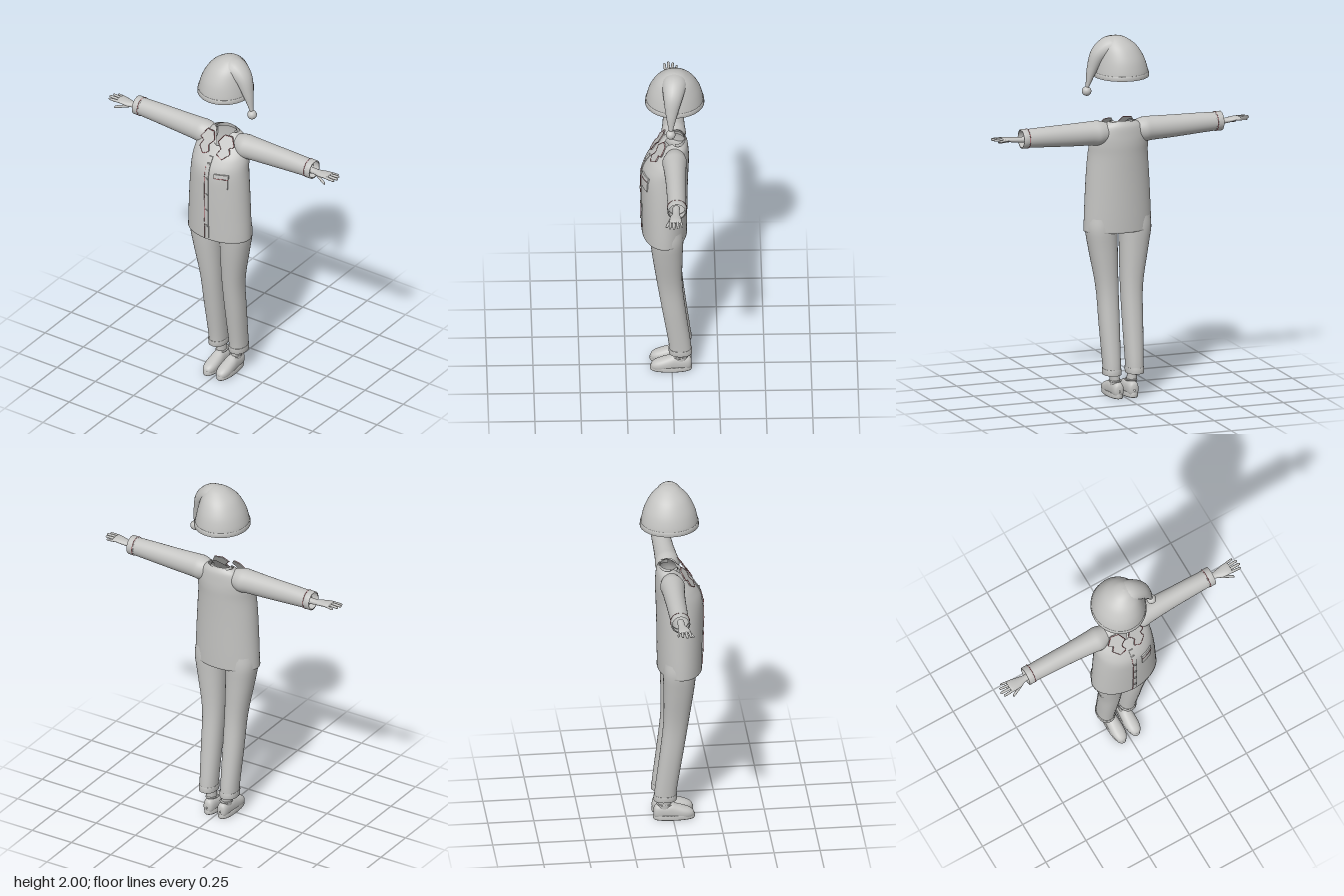
import * as THREE from 'three';

const cloth = new THREE.MeshStandardMaterial({ color: 0xc4c4c2, side: THREE.DoubleSide });
cloth.name = 'light grey';
const piping = new THREE.MeshStandardMaterial({ color: 0xa8434c });
piping.name = 'red piping';

// Smoothly subdivides a list of rings (Catmull-Rom on every value)
function refine(rings, steps) {
  const out = [];
  for (let i = 0; i < rings.length - 1; i++) {
    const a = rings[Math.max(i - 1, 0)], b = rings[i], c = rings[i + 1];
    const d = rings[Math.min(i + 2, rings.length - 1)];
    for (let s = 0; s < steps; s++) {
      const t = s / steps;
      out.push(b.map((v, k) => {
        const k1 = c[k] - a[k];
        const k2 = 2 * a[k] - 5 * v + 4 * c[k] - d[k];
        const k3 = 3 * (v - c[k]) + d[k] - a[k];
        return v + 0.5 * t * (k1 + t * (k2 + t * k3));
      }));
    }
  }
  out.push(rings[rings.length - 1]);
  return out;
}

// Skin over rings [t, a, b, ra, rb]: axis x -> (a,b)=(y,z), axis y -> (z,x), axis z -> (x,y)
function loft(axis, rings, { steps = 4, seg = 32, power = 2 } = {}) {
  const list = steps > 1 ? refine(rings, steps) : rings;
  const shift = { x: 0, y: 1, z: 2 }[axis];
  const pos = [], index = [];
  const round = v => Math.sign(v) * Math.abs(v) ** (2 / power);
  list.forEach(([t, a, b, ra, rb], j) => {
    for (let i = 0; i < seg; i++) {
      const w = i / seg * Math.PI * 2;
      const p = [];
      [t, a + ra * round(Math.cos(w)), b + rb * round(Math.sin(w))]
        .forEach((v, k) => { p[(k + shift) % 3] = v; });
      pos.push(...p);
      if (j < list.length - 1) {
        const n = (i + 1) % seg, r = j * seg, q = r + seg;
        index.push(r + i, r + n, q + i, r + n, q + n, q + i);
      }
    }
  });
  const g = new THREE.BufferGeometry();
  g.setAttribute('position', new THREE.Float32BufferAttribute(pos, 3));
  g.setIndex(index);
  g.computeVertexNormals();
  return g;
}

// Moves every vertex by a rule
function warp(g, rule) {
  const p = g.attributes.position, v = new THREE.Vector3();
  for (let i = 0; i < p.count; i++) {
    rule(v.fromBufferAttribute(p, i), i);
    p.setXYZ(i, v.x, v.y, v.z);
  }
  g.computeVertexNormals();
  return g;
}

function add(parent, name, geometry, material = cloth) {
  const m = new THREE.Mesh(geometry, material);
  m.name = name;
  parent.add(m);
  return m;
}

function seam(parent, name, points, closed = false) {
  const path = new THREE.CurvePath();
  const all = closed ? [...points, points[0]] : points;
  for (let i = 1; i < all.length; i++) path.add(new THREE.LineCurve3(all[i - 1], all[i]));
  add(parent, name, new THREE.TubeGeometry(path, all.length * 6, 0.0014, 5), piping);
}

const V = (x, y, z) => new THREE.Vector3(x, y, z);

// Jacket body, rings [y, cz, cx, rz, rx]
const bodyRings = [
  [0.915, 0.04, 0, 0.12, 0.19], [1.0, 0.04, 0, 0.122, 0.188], [1.2, 0.04, 0, 0.125, 0.178],
  [1.33, 0.036, 0, 0.125, 0.168], [1.4, 0.02, 0, 0.112, 0.163], [1.45, 0, 0, 0.09, 0.15],
  [1.5, -0.022, 0, 0.062, 0.115], [1.527, -0.03, 0, 0.04, 0.075]];
const bodyFine = refine(bodyRings, 6);

// Depth of the jacket front at a given x and y
function frontZ(x, y) {
  let i = 0;
  while (i < bodyFine.length - 2 && bodyFine[i + 1][0] < y) i++;
  const a = bodyFine[i], b = bodyFine[i + 1];
  const t = THREE.MathUtils.clamp((y - a[0]) / (b[0] - a[0]), 0, 1);
  const [, cz, , rz, rx] = a.map((v, k) => v + (b[k] - v) * t);
  return cz + rz * Math.sqrt(Math.max(0, 1 - (x / rx) ** 2));
}

// Thin panel laid over the jacket front
function panel(x0, x1, y0, y1, thick, rows) {
  const g = new THREE.BoxGeometry(x1 - x0, y1 - y0, thick, 6, rows, 1);
  g.translate((x0 + x1) / 2, (y0 + y1) / 2, 0);
  return warp(g, v => { v.z += frontZ(v.x, v.y); });
}

function jacket() {
  const g = new THREE.Group();
  g.name = 'jacket';
  const body = loft('y', bodyRings, { steps: 6, seg: 64 });
  // neckline dips at the front
  add(g, 'jacketBody', warp(body, v => {
    const up = THREE.MathUtils.smoothstep(v.y, 1.46, 1.527);
    const w = up * Math.max(0, 1 - Math.abs(v.x) / 0.05) * (v.z > -0.02 ? 1 : 0);
    v.y -= 0.07 * w;
    v.z += 0.055 * w;
  }));
  add(g, 'hem', loft('y', [[0.913, 0.04, 0, 0.118, 0.188], [0.913, 0.04, 0, 0.122, 0.192],
    [0.922, 0.04, 0, 0.122, 0.192]], { steps: 1, seg: 64 }));
  const band = new THREE.CylinderGeometry(0.058, 0.066, 0.025, 24, 1, true, Math.PI * 0.45, Math.PI * 1.1);
  add(g, 'neckBand', band.scale(1, 1, 0.75).translate(0, 1.52, -0.022));

  // button strip, buttons and pocket
  add(g, 'placket', panel(-0.014, 0.01, 0.916, 1.42, 0.009, 30));
  const line = [];
  for (let y = 0.92; y <= 1.42; y += 0.05) line.push(V(-0.014, y, frontZ(-0.014, y) + 0.005));
  seam(g, 'placketPiping', line);
  for (const y of [1.0, 1.1, 1.2, 1.3, 1.385]) {
    const b = add(g, 'button', new THREE.CylinderGeometry(0.008, 0.008, 0.006, 14));
    b.rotation.x = Math.PI / 2;
    b.position.set(-0.002, y, frontZ(0, y) + 0.006);
  }
  add(g, 'pocket', panel(0.045, 0.115, 1.255, 1.34, 0.01, 8));
  add(g, 'pocketBand', panel(0.043, 0.117, 1.318, 1.342, 0.015, 4));
  seam(g, 'pocketPiping', [0.043, 0.06, 0.08, 0.1, 0.117].map(x => V(x, 1.318, frontZ(x, 1.318) + 0.008)));

  for (const s of [1, -1]) {
    const side = new THREE.Group();
    side.name = s > 0 ? 'leftSide' : 'rightSide';
    side.scale.x = s;
    g.add(side);
    // sleeve and cuff
    add(side, 'sleeve', loft('x', [
      [0.085, 1.465, -0.015, 0.056, 0.052], [0.13, 1.465, -0.012, 0.067, 0.066],
      [0.18, 1.467, -0.012, 0.065, 0.062], [0.3, 1.468, -0.014, 0.061, 0.055],
      [0.45, 1.471, -0.015, 0.055, 0.051], [0.575, 1.472, -0.015, 0.049, 0.048]]));
    add(side, 'cuff', loft('x', [[0.54, 1.472, -0.015, 0.048, 0.047], [0.541, 1.472, -0.015, 0.053, 0.052],
      [0.579, 1.472, -0.015, 0.053, 0.052], [0.58, 1.472, -0.015, 0.046, 0.045]], { steps: 1 }));
    const ring = new THREE.TorusGeometry(0.0525, 0.0014, 5, 40).rotateY(Math.PI / 2);
    add(side, 'cuffPiping', ring.translate(0.545, 1.472, -0.015), piping);
    // notched collar flap
    const flap = [[0.012, 1.495], [0.035, 1.53], [0.08, 1.528], [0.108, 1.483], [0.082, 1.474],
      [0.097, 1.445], [0.062, 1.418], [0.025, 1.436], [0.04, 1.465]];
    const lift = (x, y) => 0.05 + (1.53 - y) * 0.68 - x * 0.2;
    const shape = new THREE.Shape(flap.map(p => new THREE.Vector2(...p)));
    const collar = new THREE.ExtrudeGeometry(shape, { depth: 0.007, bevelEnabled: false });
    add(side, 'collar', warp(collar, v => { v.z += lift(v.x, v.y) - 0.004; }));
    seam(side, 'collarPiping', flap.map(([x, y]) => V(x, y, lift(x, y) + 0.003)), true);
    side.add(hand());
  }
  return g;
}

function hand() {
  const g = new THREE.Group();
  g.name = 'hand';
  add(g, 'palm', loft('x', [
    [0.54, 1.466, -0.012, 0.018, 0.02], [0.59, 1.467, -0.01, 0.015, 0.019],
    [0.625, 1.47, -0.006, 0.014, 0.028], [0.66, 1.475, -0.005, 0.012, 0.034],
    [0.685, 1.477, -0.005, 0.009, 0.032], [0.69, 1.477, -0.005, 0.001, 0.02]], { seg: 20 }));
  // fingers as [start x, y, z, end x, y, z, radius]
  const fingers = [[0.66, 1.475, -0.031, 0.722, 1.474, -0.042, 0.0065], [0.67, 1.477, -0.014, 0.74, 1.478, -0.02, 0.0075],
    [0.67, 1.477, 0.004, 0.747, 1.478, 0.004, 0.0078], [0.665, 1.476, 0.021, 0.738, 1.476, 0.026, 0.0075],
    [0.615, 1.464, 0.01, 0.69, 1.449, 0.044, 0.0085]];
  fingers.forEach(([x0, y0, z0, x1, y1, z1, r], i) => {
    const rings = [[0, 1], [0.5, 1], [0.88, 0.85], [0.97, 0.5], [1, 0.02]].map(([t, k]) =>
      [x0 + (x1 - x0) * t, y0 + (y1 - y0) * t, z0 + (z1 - z0) * t, r * k, r * k]);
    add(g, i === 4 ? 'thumb' : 'finger', loft('x', rings, { steps: 3, seg: 10 }));
  });
  return g;
}

function leg(s) {
  const g = new THREE.Group();
  g.name = s > 0 ? 'leftLeg' : 'rightLeg';
  g.scale.x = s;
  add(g, 'trouserLeg', loft('y', [
    [0.13, -0.045, 0.066, 0.06, 0.046], [0.2, -0.04, 0.066, 0.06, 0.048], [0.4, -0.012, 0.068, 0.063, 0.055],
    [0.6, 0.013, 0.071, 0.068, 0.06], [0.8, 0.026, 0.088, 0.082, 0.077],
    [0.92, 0.03, 0.098, 0.09, 0.086], [0.99, 0.035, 0.095, 0.09, 0.084]], { power: 2.2 }));
  add(g, 'trouserCuff', loft('y', [[0.128, -0.045, 0.066, 0.058, 0.045], [0.129, -0.045, 0.066, 0.063, 0.049],
    [0.16, -0.043, 0.066, 0.063, 0.05], [0.161, -0.043, 0.066, 0.058, 0.046]], { steps: 1, power: 2.2 }));
  add(g, 'ankle', loft('y', [[0.05, -0.045, 0.047, 0.035, 0.026], [0.11, -0.047, 0.05, 0.037, 0.026],
    [0.22, -0.045, 0.056, 0.036, 0.026]], { seg: 20 }));
  // shoe
  const upper = loft('z', [
    [-0.106, 0.043, 0.042, 0.003, 0.006], [-0.1, 0.043, 0.044, 0.022, 0.032], [-0.08, 0.043, 0.045, 0.031, 0.044],
    [-0.04, 0.043, 0.045, 0.034, 0.046], [-0.01, 0.043, 0.045, 0.036, 0.05], [0.02, 0.043, 0.04, 0.038, 0.044],
    [0.06, 0.043, 0.034, 0.038, 0.036], [0.09, 0.043, 0.03, 0.032, 0.028],
    [0.11, 0.043, 0.026, 0.019, 0.017], [0.116, 0.043, 0.025, 0.002, 0.002]], { power: 2.3 });
  add(g, 'shoeUpper', warp(upper, v => { v.y = Math.max(v.y, 0.004); }));
  add(g, 'shoeSole', loft('y', [[0, 0.006, 0.043, 0.001, 0.001], [0, 0.006, 0.043, 0.11, 0.037],
    [0.004, 0.006, 0.043, 0.113, 0.04], [0.026, 0.006, 0.043, 0.113, 0.04],
    [0.029, 0.006, 0.043, 0.107, 0.035], [0.029, 0.006, 0.043, 0.001, 0.001]], { steps: 1, power: 2.3 }));
  const rim = new THREE.TorusGeometry(0.031, 0.005, 8, 28).rotateX(Math.PI / 2 + 0.12).scale(0.9, 1, 1.25);
  add(g, 'shoeRim', rim.translate(0.045, 0.09, -0.046));
  return g;
}

function hat() {
  const g = new THREE.Group();
  g.name = 'nightcap';
  add(g, 'hatDome', loft('y', [
    [1.78, -0.015, 0, 0.156, 0.146], [1.82, -0.015, 0, 0.152, 0.141], [1.88, -0.015, 0.004, 0.136, 0.125],
    [1.94, -0.015, 0.014, 0.103, 0.098], [1.98, -0.015, 0.026, 0.06, 0.06],
    [1.995, -0.015, 0.032, 0.03, 0.03], [2.0, -0.015, 0.034, 0.001, 0.001]], { seg: 48 }));
  add(g, 'hatBand', loft('y', [[1.776, -0.015, 0, 0.153, 0.143], [1.776, -0.015, 0, 0.16, 0.149],
    [1.8, -0.015, 0, 0.159, 0.148], [1.801, -0.015, 0, 0.152, 0.141]], { steps: 1, seg: 48 }));
  // drooping tip, tapering along its path
  const path = new THREE.CatmullRomCurve3([V(0.02, 1.92, -0.015), V(0.06, 1.938, -0.012), V(0.12, 1.905, -0.004),
    V(0.16, 1.82, 0.005), V(0.188, 1.715, 0.01)]);
  const tip = warp(new THREE.TubeGeometry(path, 30, 1, 20), (v, i) => {
    const u = Math.floor(i / 21) / 30, c = path.getPointAt(u);
    v.sub(c).multiplyScalar(0.07 - 0.062 * u);
    v.z *= 1.15;
    v.add(c);
  });
  add(g, 'hatTip', tip);
  add(g, 'pompom', new THREE.SphereGeometry(0.026, 24, 16).translate(0.19, 1.698, 0.011));
  return g;
}

export function createModel() {
  const model = new THREE.Group();
  model.name = 'pyjamaOutfit';
  model.add(hat(), jacket(), leg(1), leg(-1));
  return model;
}
